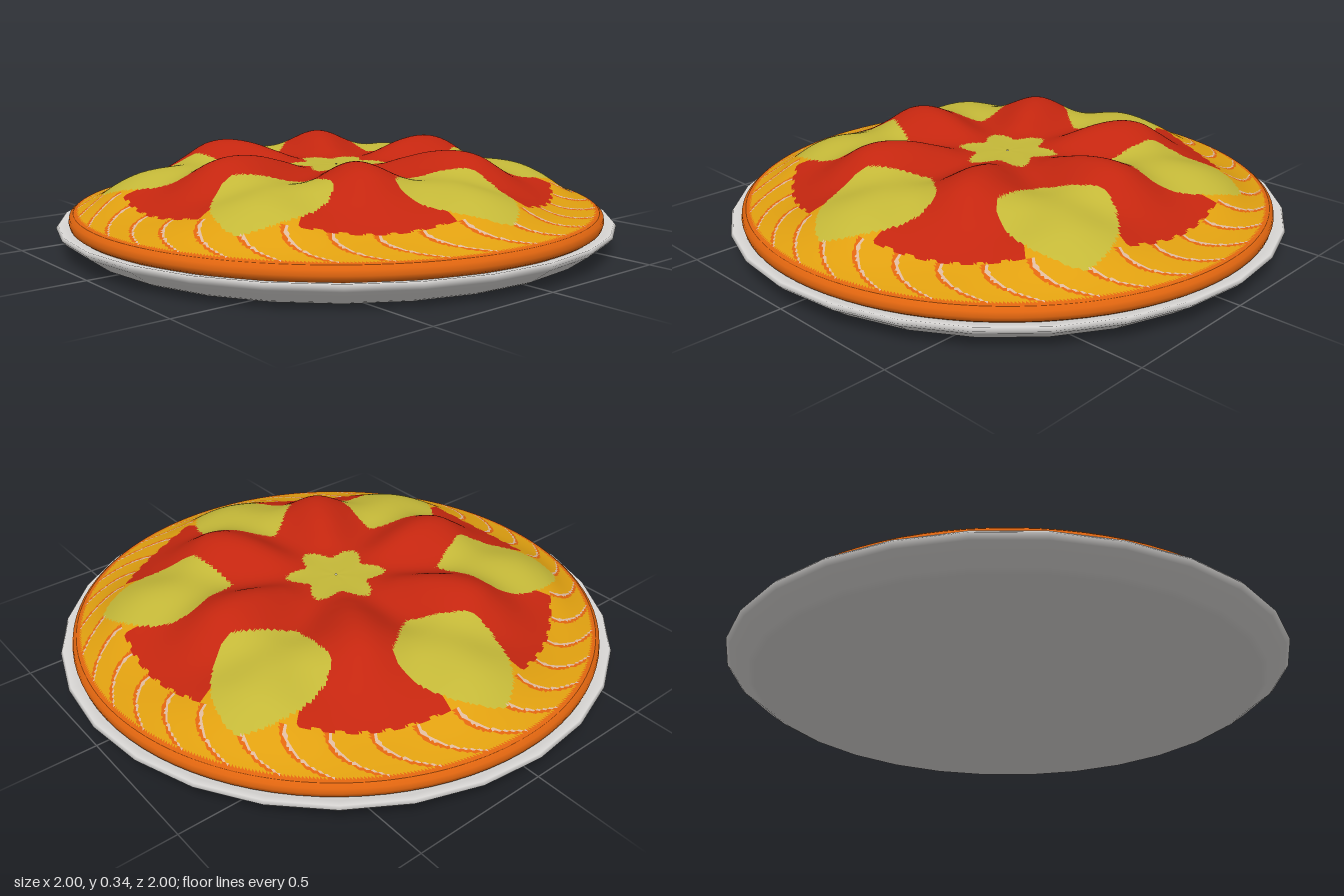
import * as THREE from 'three';

const mat = (name, color) => Object.assign(new THREE.MeshStandardMaterial({ color }), { name });

// Smooth curve through [x, y] points (Catmull-Rom style tangents)
function curveThrough(pts) {
  const slope = (i) => {
    const a = pts[Math.max(i - 1, 0)], b = pts[Math.min(i + 1, pts.length - 1)];
    return (b[1] - a[1]) / (b[0] - a[0]);
  };
  return (x) => {
    if (x <= pts[0][0]) return pts[0][1];
    if (x >= pts.at(-1)[0]) return pts.at(-1)[1];
    let i = 0;
    while (x > pts[i + 1][0]) i++;
    const [x0, y0] = pts[i], [x1, y1] = pts[i + 1];
    const d = x1 - x0, t = (x - x0) / d, t2 = t * t, t3 = t2 * t;
    return y0 * (2 * t3 - 3 * t2 + 1) + y1 * (3 * t2 - 2 * t3)
      + d * (slope(i) * (t3 - 2 * t2 + t) + slope(i + 1) * (t3 - t2));
  };
}

// Height along the middle of a red mound, and along the middle of a slice
const moundHeight = curveThrough([[0, 0.265], [0.15, 0.27], [0.25, 0.3], [0.35, 0.327], [0.45, 0.335],
  [0.53, 0.318], [0.6, 0.275], [0.68, 0.222], [0.78, 0.172], [0.88, 0.142], [0.94, 0.128]]);
const sliceHeight = curveThrough([[0, 0.265], [0.2, 0.265], [0.38, 0.26], [0.5, 0.27], [0.6, 0.268],
  [0.7, 0.25], [0.78, 0.215], [0.86, 0.162], [0.9, 0.142], [0.94, 0.128]]);
// Half width of a slice along its radius
const sliceWidth = curveThrough([[0.375, 0], [0.42, 0.06], [0.48, 0.12], [0.54, 0.178], [0.6, 0.19],
  [0.66, 0.18], [0.72, 0.155], [0.78, 0.105], [0.82, 0.05], [0.84, 0]]);

const SECTOR = Math.PI / 3, RIM = 0.94, LINES = 36;

function heightAt(r, a) {
  const w = (1 + Math.cos(6 * a)) / 2;
  const valley = 0.02 * Math.sin(6 * a) ** 2 * Math.exp(-(((r - 0.6) / 0.13) ** 2));
  return moundHeight(r) * (1 - w) + sliceHeight(r) * w - valley;
}

// Which part of the filling a point belongs to
function partAt(r, a) {
  if (r < 0.15 + 0.03 * Math.cos(6 * a)) return 'centreStar';
  const off = a - SECTOR * Math.round(a / SECTOR);
  if (r < 0.84 && Math.abs(r * Math.sin(off)) < sliceWidth(r)) return 'slices';
  const fromMound = SECTOR / 2 - Math.abs(off);
  const ripple = 0.012 * Math.abs(Math.sin(a * 33));
  if (r < 0.768 + ripple && (r < 0.66 || fromMound < 0.31 + ripple)) return 'sauce';
  // Curved pleats around the crust
  if (r > 0.926) return 'crustEdge';
  const t = (r - 0.78) / 0.15;
  if (t > 0) {
    const u = (a + 0.21 * t * t) * LINES / (2 * Math.PI);
    const f = u - Math.floor(u);
    if (f < 0.085) return 'pleatHighlights';
    if (f < 0.18) return 'crustEdge';
  }
  return 'crust';
}

// Polar height surface, cut into one mesh per part
function fillingMeshes(materials) {
  const around = 540, rings = [];
  for (let i = 0; i <= 46; i++) rings.push(0.004 + 0.756 * i / 46);
  for (let i = 1; i <= 18; i++) rings.push(0.76 + (RIM - 0.76) * i / 18);
  const pos = [], faces = {}, all = [];
  for (const r of rings) {
    for (let j = 0; j < around; j++) {
      const a = j / around * Math.PI * 2;
      pos.push(r * Math.cos(a), heightAt(r, a), r * Math.sin(a));
    }
  }
  const addFace = (r, a, ...ids) => {
    (faces[partAt(r, a)] ??= []).push(...ids);
    all.push(...ids);
  };
  const step = Math.PI * 2 / around;
  for (let i = 0; i < rings.length - 1; i++) {
    const dr = rings[i + 1] - rings[i];
    for (let j = 0; j < around; j++) {
      const k = (j + 1) % around;
      const p = i * around + j, q = i * around + k, s = p + around, t = q + around;
      addFace(rings[i] + dr / 3, (j + 1 / 3) * step, p, q, s);
      addFace(rings[i] + dr * 2 / 3, (j + 2 / 3) * step, q, t, s);
    }
  }
  const whole = new THREE.BufferGeometry();
  whole.setAttribute('position', new THREE.Float32BufferAttribute(pos, 3));
  whole.setIndex(all);
  whole.computeVertexNormals();
  return Object.entries(faces).map(([name, index]) => {
    const geo = new THREE.BufferGeometry();
    geo.setAttribute('position', whole.attributes.position);
    geo.setAttribute('normal', whole.attributes.normal);
    geo.setIndex(index);
    const mesh = new THREE.Mesh(geo, materials[name]);
    mesh.name = name;
    return mesh;
  });
}

function lathe(name, points, sides, material) {
  const mesh = new THREE.Mesh(
    new THREE.LatheGeometry(points.map(([x, y]) => new THREE.Vector2(x, y)), sides), material);
  mesh.name = name;
  return mesh;
}

export function createModel() {
  const red = mat('tomato red', 0xc4260f);
  const green = mat('olive yellow', 0xc4b838);
  const gold = mat('golden crust', 0xe0a010);
  const orange = mat('baked orange', 0xe0650f);
  const pale = mat('pale pastry', 0xdcb89c);
  const white = mat('plate white', 0xdad8d6);

  const group = new THREE.Group();
  group.name = 'pieOnPlate';

  // Plate with a sloping rim
  group.add(lathe('plate', [[0, 0], [0.86, 0], [0.9, 0.004], [0.92, 0.014], [0.985, 0.062], [1, 0.078],
    [0.992, 0.088], [0.965, 0.082], [0.93, 0.075], [0, 0.075]], 28, white));

  // Rounded side of the crust
  group.add(lathe('crustSide', [[0.935, 0.072], [0.953, 0.085], [0.957, 0.1], [0.954, 0.117], [RIM, 0.128]],
    90, orange));

  // Crust, pleats, sauce mounds and slices
  group.add(...fillingMeshes({
    centreStar: green, slices: green, sauce: red, crust: gold, crustEdge: orange, pleatHighlights: pale,
  }));
  return group;
}
